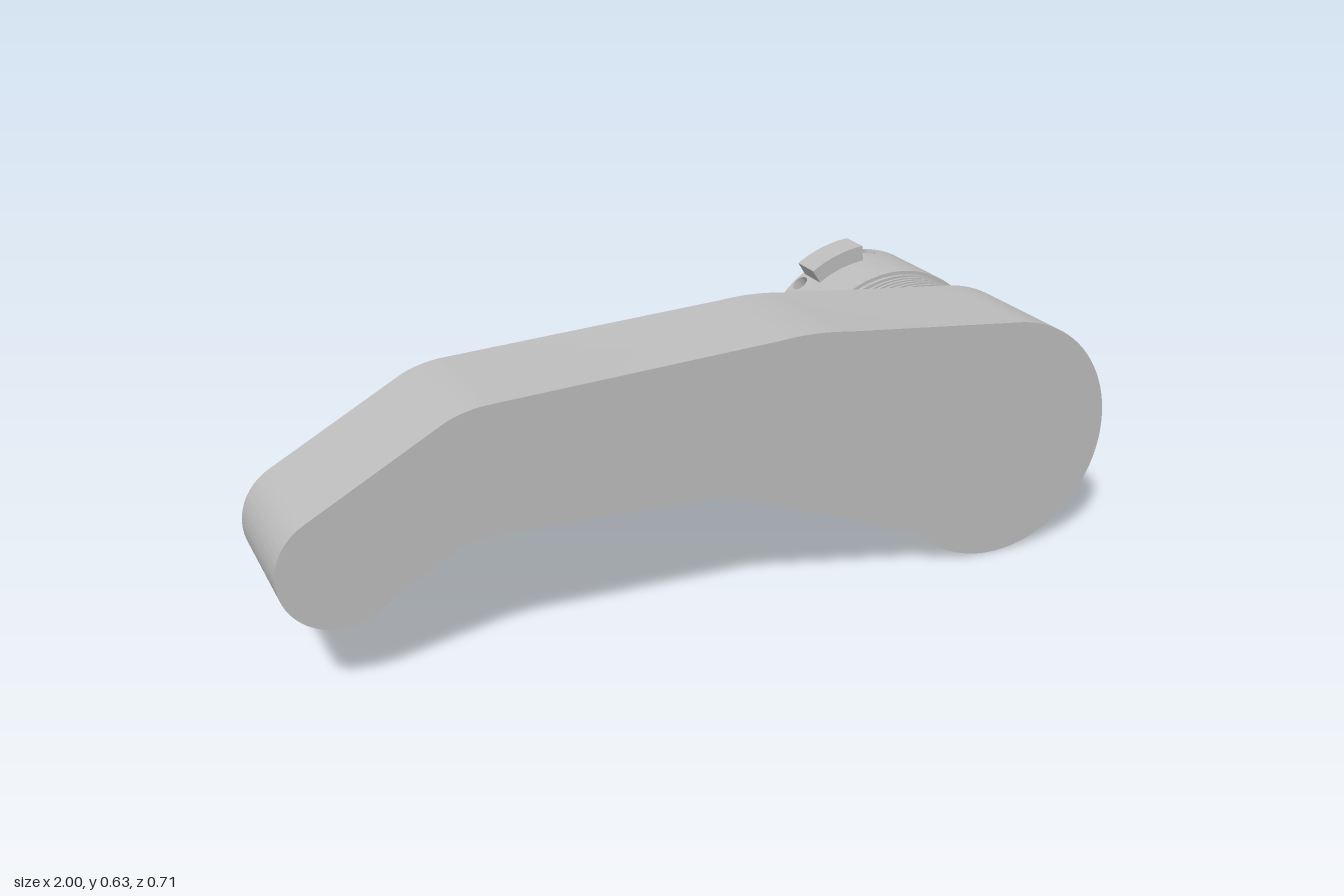
import * as THREE from 'three';
import { toCreasedNormals } from 'three/addons/utils/BufferGeometryUtils.js';

const steel = new THREE.MeshStandardMaterial({ color: 0xbcbcbc });
steel.name = 'steel grey';
const rad = THREE.MathUtils.degToRad;

function add(parent, name, geometry) {
  const mesh = new THREE.Mesh(toCreasedNormals(geometry, 0.5), steel);
  mesh.name = name;
  parent.add(mesh);
  return mesh;
}

// Slab of a shape between two z positions
function slab(shape, z0, z1, curveSegments = 32) {
  return new THREE.ExtrudeGeometry(shape, { depth: z1 - z0, bevelEnabled: false, curveSegments })
    .translate(0, 0, z0);
}

// Piece of a ring between two angles in degrees
function sector(r0, r1, a0, a1, z0, z1) {
  const s = new THREE.Shape();
  s.absarc(0, 0, r1, rad(a0), rad(a1), false);
  s.absarc(0, 0, r0, rad(a1), rad(a0), true);
  s.closePath();
  return slab(s, z0, z1, Math.max(4, Math.ceil((a1 - a0) / 4)));
}

function disc(r, z0, z1) {
  return new THREE.CylinderGeometry(r, r, z1 - z0, 72).rotateX(Math.PI / 2).translate(0, 0, (z0 + z1) / 2);
}

// Flat plate (arc length, z) with a hole, bent onto a cylinder
function bentPlate(outline, hole, rInner, rOuter, angle) {
  const s = new THREE.Shape(outline);
  s.holes.push(hole);
  const g = new THREE.ExtrudeGeometry(s, { depth: rOuter - rInner, bevelEnabled: false, curveSegments: 10 });
  const p = g.attributes.position;
  for (let i = 0; i < p.count; i++) {
    const a = rad(angle) + p.getX(i) / rOuter;
    const r = rInner + p.getZ(i);
    p.setXYZ(i, r * Math.cos(a), r * Math.sin(a), p.getY(i));
  }
  g.computeVertexNormals();
  return g;
}

function rectPoints(halfWidth, z0, z1) {
  const pts = [];
  for (let i = 0; i <= 6; i++) pts.push(new THREE.Vector2(-halfWidth + halfWidth * i / 3, z0));
  for (let i = 6; i >= 0; i--) pts.push(new THREE.Vector2(-halfWidth + halfWidth * i / 3, z1));
  return pts;
}

function roundedRect(target, hw, hz, zc, r) {
  target.absarc(hw - r, zc + hz - r, r, 0, Math.PI / 2);
  target.absarc(-hw + r, zc + hz - r, r, Math.PI / 2, Math.PI);
  target.absarc(-hw + r, zc - hz + r, r, Math.PI, Math.PI * 1.5);
  target.absarc(hw - r, zc - hz + r, r, Math.PI * 1.5, Math.PI * 2);
  target.closePath();
  return target;
}

// Curved lever arm with round ends
function leverShape() {
  const s = new THREE.Shape();
  s.absarc(0.71, 0.29, 0.29, rad(240), rad(444), false);
  s.lineTo(0.28, 0.624);
  s.quadraticCurveTo(0.2, 0.636, 0.12, 0.628);
  s.lineTo(-0.54, 0.592);
  s.quadraticCurveTo(-0.59, 0.59, -0.635, 0.57);
  s.absarc(-0.87, 0.29, 0.13, rad(119), rad(300), false);
  s.lineTo(-0.64, 0.275);
  s.quadraticCurveTo(-0.6, 0.3, -0.54, 0.302);
  s.lineTo(-0.03, 0.285);
  s.quadraticCurveTo(0, 0.284, 0.03, 0.272);
  s.lineTo(0.47, 0.104);
  s.quadraticCurveTo(0.5, 0.09, 0.53, 0.063);
  s.closePath();
  return s;
}

export function createModel() {
  const model = new THREE.Group();
  model.name = 'leverWithCoupling';
  add(model, 'leverArm', slab(leverShape(), 0.06, 0.357));

  const coupling = new THREE.Group();
  coupling.name = 'coupling';
  coupling.position.set(0.708, 0.29, 0);
  model.add(coupling);

  const CORE = 0.205, COLLAR = 0.263, SHELL = 0.272, AXIS = -6;
  add(coupling, 'core', disc(CORE, -0.341, 0.06));

  // Front collar with six windows
  add(coupling, 'collarFrontRing', disc(COLLAR, 0.051, 0.06));
  add(coupling, 'collarRearRing', disc(COLLAR, -0.027, -0.02));
  for (let i = 0; i < 6; i++) {
    const a = -5 + 60 * i;
    add(coupling, 'collarPost', sector(CORE - 0.005, COLLAR, a + 16, a + 44, -0.02, 0.051));
  }

  // Bellows
  add(coupling, 'bellowsCore', disc(0.242, -0.124, -0.027));
  for (let i = 0; i < 5; i++) {
    const z = -0.0405 - 0.016 * i;
    add(coupling, 'bellowsFin', disc(COLLAR, z - 0.0035, z + 0.0035));
  }

  // Rear shell: a band with a window on each side
  for (const side of [0, 180]) {
    const a = AXIS + side;
    add(coupling, 'shellLip', sector(CORE - 0.005, COLLAR, a + 17, a + 163, -0.132, -0.122));
    add(coupling, 'shellBand', sector(CORE - 0.005, SHELL, a + 17, a + 163, -0.26, -0.132));

    // Slotted insert sunk in the window
    const outer = roundedRect(new THREE.Shape(), 0.054, 0.032, -0.213, 0.016);
    const slot = roundedRect(new THREE.Path(), 0.04, 0.014, -0.213, 0.012);
    add(coupling, 'windowInsert', bentPlate(outer.getPoints(6), slot, 0.2, 0.235, a));
  }

  // Drilled end band: paired screw holes at each slit, single holes elsewhere
  const cells = [];
  for (const side of [0, 180]) {
    for (const offset of [-11, 11]) cells.push([side + offset, -0.299, true]);
    for (const offset of [45, 90, 135]) cells.push([side + offset, -0.315, false]);
  }
  cells.sort((a, b) => a[0] - b[0]);
  const half = 6;
  cells.forEach(([offset, z, hasScrew], i) => {
    const a = AXIS + offset;
    const hole = new THREE.Path();
    hole.absarc(0, z, 0.021, 0, Math.PI * 2, true);
    add(coupling, 'drilledBlock',
      bentPlate(rectPoints(rad(half) * SHELL, -0.341, -0.26), hole, CORE - 0.005, SHELL, a));
    if (hasScrew) {
      const screw = new THREE.CylinderGeometry(0.014, 0.014, 0.05, 16)
        .rotateZ(-Math.PI / 2).translate(0.22, 0, z).rotateZ(rad(a));
      add(coupling, 'clampScrew', screw);
    }
    // Solid piece up to the next hole, shortened where the slit lies
    const next = i + 1 < cells.length ? cells[i + 1][0] : cells[0][0] + 360;
    const isSlit = next - offset < 30;
    add(coupling, isSlit ? 'slitFloor' : 'endBand',
      sector(CORE - 0.005, SHELL, a + half, AXIS + next - half, isSlit ? -0.33 : -0.341, -0.26));
  });

  // Raised key near the top
  add(coupling, 'key', sector(0.25, 0.311, 95, 123, -0.33, -0.252));

  // End caps
  add(coupling, 'endCap', disc(0.2, -0.345, -0.33));
  add(coupling, 'endBoss', disc(0.147, -0.357, -0.34));
  return model;
}
